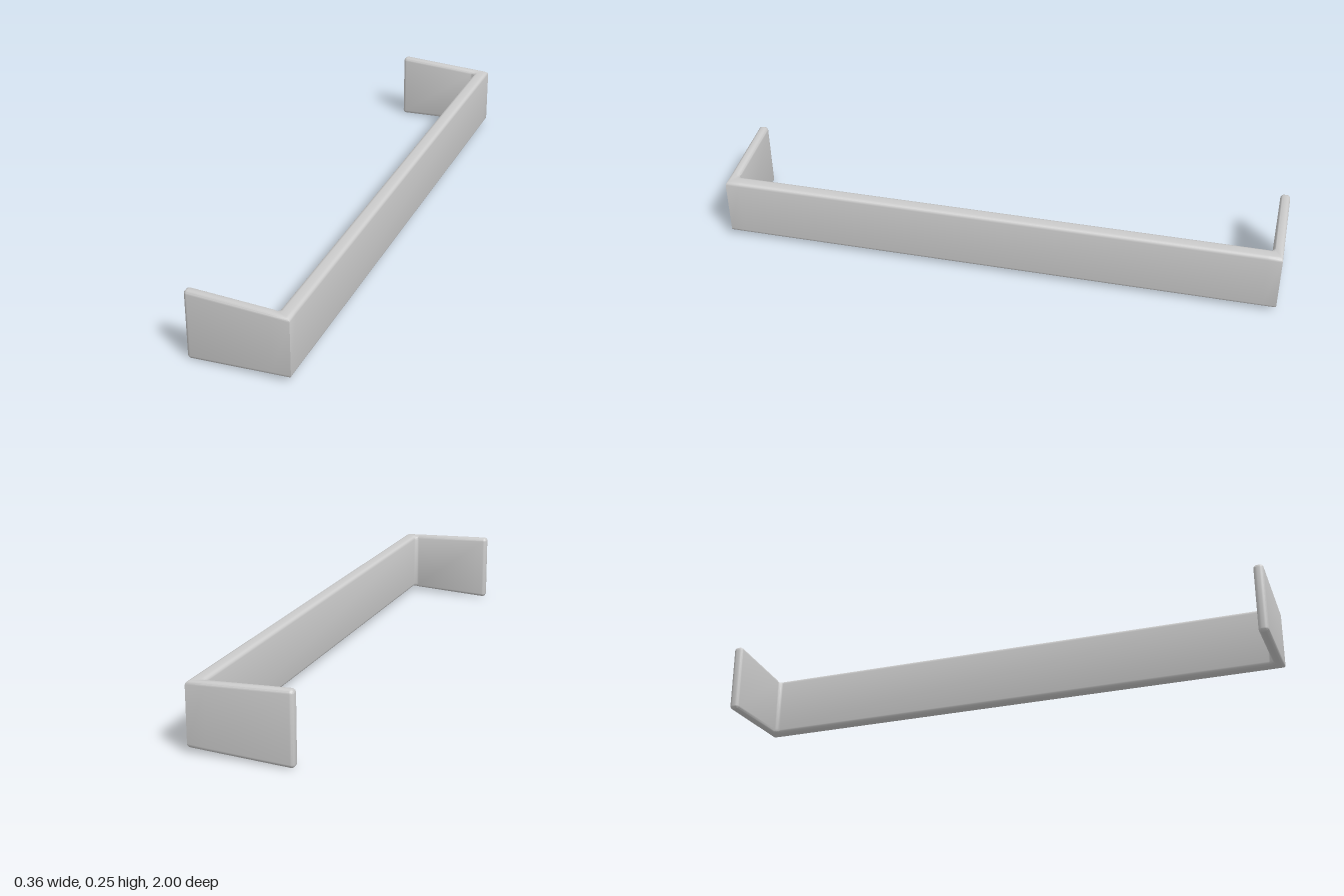
import * as THREE from 'three';
import { toCreasedNormals } from 'three/addons/utils/BufferGeometryUtils.js';

const STEPS = 4;        // segments per rounded quarter
const MID_Y = 0.126;    // mid height of the bracket
const R = 0.013;        // edge rounding
const X0 = -0.18, X1 = 0.18, THICK = 0.035, RAIL_X = 0.13, FILLET = 0.015;

// The end tabs taper towards the rail.
const halfHeight = (x) => 0.126 - 0.016 * THREE.MathUtils.clamp((x + 0.165) / 0.345, 0, 1);

// Rounded-rectangle cross-section between an outer and an inner plan point.
function section(outer, inner, half, ry, frac) {
  const pts = [];
  for (let q = 0; q < 4; q++) {
    for (let k = 0; k <= STEPS; k++) {
      const a = (q + k / STEPS) * Math.PI / 2;
      const side = q < 2 ? 1 : -1;
      const up = q === 0 || q === 3 ? 1 : -1;
      const t = 0.5 - side * (0.5 - frac) - frac * Math.sin(a);
      const y = MID_Y + up * (half - ry) + ry * Math.cos(a);
      pts.push(new THREE.Vector3(
        outer[0] + (inner[0] - outer[0]) * t, y,
        outer[1] + (inner[1] - outer[1]) * t));
    }
  }
  return pts;
}

// Sections from the tip of the front tab to the start of the rail.
function frontSections() {
  const rings = [];
  // rounded tip
  for (let k = 0; k <= STEPS; k++) {
    const a = k / STEPS * Math.PI / 2;
    const inset = R * (1 - Math.sin(a)), r = R * Math.sin(a);
    const x = X0 + R * (1 - Math.cos(a));
    rings.push(section([x, 1 - inset], [x, 1 - THICK + inset],
      halfHeight(x) - inset, r, r / (THICK - 2 * inset)));
  }
  // straight tab up to the inner fillet
  const cx = RAIL_X - FILLET, cz = 1 - THICK - FILLET;
  rings.push(section([cx, 1], [cx, 1 - THICK], halfHeight(cx), R, 0.34));
  // sharp outer corner with filleted inside
  for (let k = 0; k <= STEPS; k++) {
    const a = k / STEPS * Math.PI / 2;
    rings.push(section([X1, 1],
      [cx + FILLET * Math.sin(a), cz + FILLET * Math.cos(a)], 0.11, R, 0.29));
  }
  // start of the rail
  rings.push(section([X1, cz], [RAIL_X, cz], 0.11, R, 0.27));
  return rings;
}

// Skin a list of sections and close both ends.
function skin(rings) {
  const pos = [];
  const tri = (a, b, c) => {
    const area = b.clone().sub(a).cross(c.clone().sub(a)).length();
    if (area > 1e-9) for (const p of [a, b, c]) pos.push(p.x, p.y, p.z);
  };
  const n = rings[0].length;
  for (let i = 0; i < rings.length - 1; i++) {
    for (let j = 0; j < n; j++) {
      const k = (j + 1) % n, A = rings[i], B = rings[i + 1];
      tri(A[j], A[k], B[j]);
      tri(A[k], B[k], B[j]);
    }
  }
  const cap = (ring, flip) => {
    const c = new THREE.Vector3();
    ring.forEach((p) => c.addScaledVector(p, 1 / n));
    ring.forEach((p, j) => {
      const q = ring[(j + 1) % n];
      if (flip) tri(c, q, p); else tri(c, p, q);
    });
  };
  cap(rings[0], true);
  cap(rings[rings.length - 1], false);
  const g = new THREE.BufferGeometry();
  g.setAttribute('position', new THREE.Float32BufferAttribute(pos, 3));
  return toCreasedNormals(g, 0.6);
}

export function createModel() {
  const group = new THREE.Group();
  group.name = 'bracket';
  const front = frontSections();
  // the back half mirrors the front in z
  const back = front.map((ring) => ring.map((p) => new THREE.Vector3(p.x, p.y, -p.z))).reverse();
  const mesh = new THREE.Mesh(skin([...front, ...back]),
    new THREE.MeshStandardMaterial({ color: 0xcccccc }));
  mesh.name = 'railWithEndTabs';
  group.add(mesh);
  return group;
}
